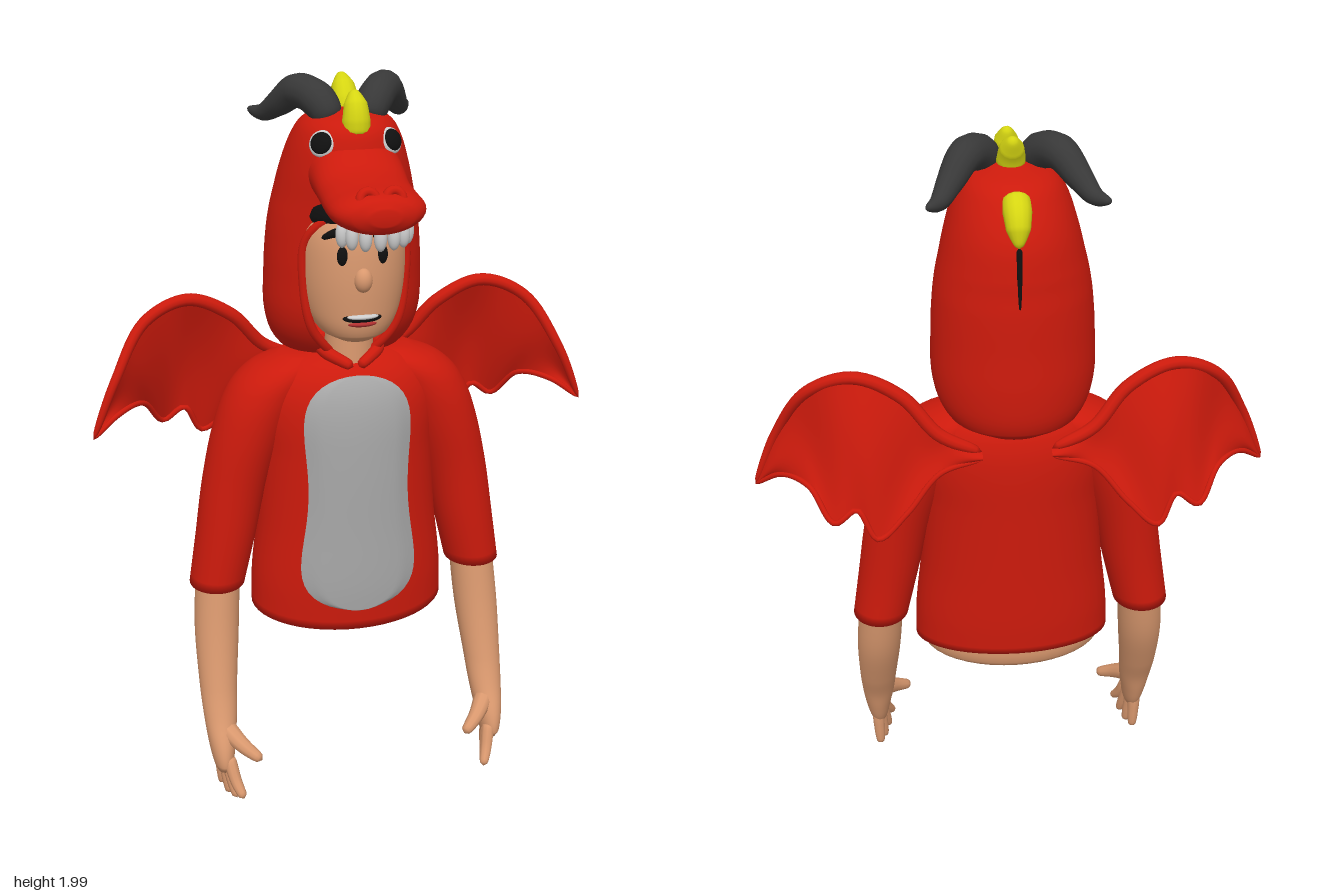
import * as THREE from 'three';
import { mergeVertices } from 'three/addons/utils/BufferGeometryUtils.js';

const mat = (color, side = THREE.FrontSide) =>
  new THREE.MeshStandardMaterial({ color, side });
const RED = mat(0xcc1a0c), CLOTH = mat(0xcc1a0c, THREE.DoubleSide), SKIN = mat(0xd9986e),
  BELLY = mat(0xa6a6a6, THREE.DoubleSide), HORN = mat(0x383838), YELLOW = mat(0xd6d612),
  BLACK = mat(0x101010), WHITE = mat(0xdedede), LIP = mat(0xb03030);
const V = (p) => new THREE.Vector3(...p);

// Smooth interpolation of rows [y, cx, cz, rx, rz, gap] at height y
function at(rows, y) {
  let i = 0;
  while (i < rows.length - 2 && y > rows[i + 1][0]) i++;
  const a = rows[i], b = rows[i + 1], h = b[0] - a[0], t = (y - a[0]) / h;
  const slope = (k, c) => {
    const p = rows[Math.max(k - 1, 0)], n = rows[Math.min(k + 1, rows.length - 1)];
    return (n[c] - p[c]) / (n[0] - p[0]);
  };
  return a.map((v, c) => {
    const m0 = slope(i, c) * h, m1 = slope(i + 1, c) * h, d = b[c] - v;
    return v + t * (m0 + t * (3 * d - 2 * m0 - m1 + t * (m0 + m1 - 2 * d)));
  });
}

function surface(pos, idx) {
  const g = new THREE.BufferGeometry();
  g.setAttribute('position', new THREE.Float32BufferAttribute(pos, 3));
  g.setIndex(idx);
  const m = mergeVertices(g, 1e-5);
  m.computeVertexNormals();
  return m;
}

// Grid of points f(u, v) turned into a sheet
function sheet(f, nu, nv, pos = [], idx = []) {
  for (let i = 0; i <= nv; i++) for (let j = 0; j <= nu; j++) {
    pos.push(...f(j / nu, i / nv));
    if (i < nv && j < nu) {
      const a = i * (nu + 1) + j, c = a + nu + 1;
      idx.push(a, a + 1, c, a + 1, c + 1, c);
    }
  }
  return [pos, idx];
}

// Stack of oval rings; a row's gap opens the ring at the front, tilt slopes the lowest rings
function loft(rows, { open = false, n = 40, tilt = 0 } = {}) {
  const k = (rows.length - 1) * 5;
  const [pos, idx] = sheet((u, v) => {
    const q = v * (rows.length - 1), i = Math.min(Math.floor(q), rows.length - 2);
    const y = rows[i][0] + (q - i) * (rows[i + 1][0] - rows[i][0]);
    const [, cx, cz, rx, rz, gap = 0] = at(rows, y), g = Math.max(gap, 0);
    const t = g + u * (2 * Math.PI - 2 * g), z = cz + rz * Math.cos(t);
    return [cx + rx * Math.sin(t), y - tilt * z * Math.max(0, 1 - 4 * v), z];
  }, n, k);
  if (!open) {
    const c = pos.length / 3, top = k * (n + 1), lo = rows[0], hi = rows[rows.length - 1];
    pos.push(lo[1], lo[0], lo[2], hi[1], hi[0], hi[2]);
    for (let j = 0; j < n; j++) idx.push(c, j + 1, j, c + 1, top + j, top + j + 1);
  }
  return surface(pos, idx);
}

// Tube through points whose radius follows a list, rounded off at both ends
function taper(points, radii, seg = 24, sides = 14) {
  const curve = new THREE.CatmullRomCurve3(points.map(V));
  const g = new THREE.TubeGeometry(curve, seg, 1, sides), p = g.attributes.position;
  for (let i = 0; i <= seg; i++) {
    const u = i / seg, q = u * (radii.length - 1), k = Math.min(Math.floor(q), radii.length - 2);
    const r = (radii[k] + (radii[k + 1] - radii[k]) * (q - k)) * Math.sqrt(1 - Math.abs(2 * u - 1) ** 12);
    const c = curve.getPointAt(u);
    for (let j = 0; j <= sides; j++) {
      const n = i * (sides + 1) + j, v = new THREE.Vector3().fromBufferAttribute(p, n);
      v.sub(c).multiplyScalar(r).add(c);
      p.setXYZ(n, v.x, v.y, v.z);
    }
  }
  return surface(p.array, [...g.index.array]);
}

export function createModel() {
  const root = new THREE.Group(), body = new THREE.Group();
  root.add(body);
  const add = (name, geo, m) => {
    const mesh = new THREE.Mesh(geo, m);
    mesh.name = name;
    body.add(mesh);
    return mesh;
  };
  const ball = (name, p, s, m) => {
    const b = add(name, new THREE.SphereGeometry(1, 24, 16), m);
    b.position.set(...p);
    b.scale.set(...s);
    return b;
  };

  // Torso, waist and belly panel
  const torso = [[.53, 0, -.02, .274, .178], [.64, 0, -.02, .27, .182], [.8, 0, -.022, .252, .18],
    [1, 0, -.025, .242, .178], [1.13, 0, -.03, .25, .173], [1.21, 0, -.035, .232, .156],
    [1.262, 0, -.04, .18, .122], [1.295, 0, -.04, .08, .06]];
  add('shirt', loft(torso, { tilt: .15, n: 48 }), RED);
  add('waist', loft([[.478, 0, -.025, .12, .08], [.488, 0, -.025, .2, .128], [.515, 0, -.022, .25, .16],
    [.58, 0, -.02, .258, .168]]), SKIN);
  add('bellyPanel', surface(...sheet((u, v) => {
    const s = Math.sin((v - .5) * Math.PI), y = .905 + .335 * s, r = at(torso, y);
    const half = (.148 - .01 * Math.cos(s * 4) - .012 * s) * Math.max(0, 1 - Math.abs(s) ** 7) ** .5;
    const x = (2 * u - 1) * half, edge = Math.min(1, 4 * (1 - Math.abs(2 * u - 1)));
    return [x, y, r[2] + r[4] * Math.sqrt(1 - (x / r[3]) ** 2) + .004 + .006 * edge];
  }, 24, 32)), BELLY);
  add('neck', new THREE.CylinderGeometry(.06, .068, .16, 24).translate(0, 1.32, .012), SKIN);

  // Head and face
  add('head', loft([[1.342, 0, .085, .045, .045], [1.365, 0, .07, .09, .09], [1.43, 0, .04, .128, .132],
    [1.55, 0, .025, .145, .148], [1.65, 0, .015, .14, .14], [1.73, 0, 0, .1, .1]]), SKIN);
  add('hair', loft([[1.655, 0, .005, .143, .142], [1.675, 0, .01, .143, .143], [1.71, 0, .01, .13, .135],
    [1.76, 0, 0, .07, .08]]), BLACK);
  ball('nose', [0, 1.52, .17], [.024, .032, .024], SKIN);
  ball('mouth', [0, 1.418, .158], [.052, .014, .019], BLACK);
  ball('mouthTeeth', [0, 1.422, .163], [.043, .008, .018], WHITE);
  ball('lip', [0, 1.402, .158], [.04, .009, .018], LIP);

  // Hood with face opening, rolled edge and back seam
  const hood = [[1.248, 0, -.12, .1, .09, .3], [1.28, 0, -.103, .168, .146, .3], [1.37, 0, -.08, .208, .182, .58],
    [1.5, 0, -.07, .21, .187, .7], [1.6, 0, -.065, .203, .188, .7], [1.655, 0, -.06, .195, .187, .5],
    [1.695, 0, -.056, .186, .188, 0], [1.78, 0, -.043, .165, .185, 0], [1.86, 0, -.026, .137, .157, 0],
    [1.9, 0, -.017, .106, .122, 0], [1.922, 0, -.01, .05, .06, 0]];
  add('hood', loft(hood, { n: 56, open: true }), CLOTH);
  ball('hoodCrown', [0, 1.915, -.01], [.06, .012, .07], RED);
  const edge = (s) => hood.slice(0, 7).map(([y, , cz, rx, rz, g]) => [s * rx * Math.sin(g), y, cz + rz * Math.cos(g)]);
  add('hoodEdge', taper([...edge(1), ...edge(-1).reverse().slice(1)], [.012, .013, .013, .012], 80, 10), RED);
  add('hoodSeam', taper([1.78, 1.72, 1.67, 1.62].map((y) => {
    const r = at(hood, y);
    return [0, y, r[2] - r[4] + .002];
  }), [.009, .007, .003], 16, 8), BLACK);

  // Snout and teeth
  add('snout', loft([[0, 0, -1.785, .125, .095], [.11, 0, -1.77, .12, .088], [.19, 0, -1.747, .117, .066],
    [.27, 0, -1.739, .12, .056], [.33, 0, -1.737, .115, .052], [.37, 0, -1.735, .084, .042],
    [.388, 0, -1.735, .035, .02]]).rotateX(Math.PI / 2), RED);
  for (let i = -3; i <= 3; i++) {
    const a = i * .42;
    ball('tooth', [.086 * Math.sin(a), 1.675, .26 + .08 * Math.cos(a)], [.016, .033, .016], WHITE);
  }

  // Crest spikes
  const crest = [[[0, 1.87, .09], [0, 1.93, .085], [0, 1.98, .06]],
    [[0, 1.9, -.02], [0, 1.95, -.045], [0, 1.998, -.085]],
    [[0, 1.875, -.145], [0, 1.84, -.195], [0, 1.775, -.228]]];
  for (const p of crest) add('crestSpike', taper(p, [.036, .036, .03, .01]), YELLOW);

  for (const s of [1, -1]) {
    const flip = (pts) => pts.map(([x, y, z]) => [x * s, y, z]);
    // Face and collar
    ball('eye', [s * .052, 1.583, .16], [.014, .025, .01], BLACK);
    add('eyebrow', taper(flip([[.025, 1.63, .166], [.062, 1.643, .155], [.1, 1.625, .132]]), [.009, .012, .006], 12, 8), BLACK);
    add('collar', taper(flip([[.085, 1.3, -.03], [.07, 1.29, .045], [.008, 1.262, .1]]), [.016, .018, .014], 16, 10), RED);

    // Hood eyes, nostrils and horns
    const look = new THREE.Vector3(s * .5, .4, .77).normalize();
    [['hoodEyeWhite', .034, 0, WHITE], ['hoodEyePupil', .028, .006, BLACK]].forEach(([n, r, d, m]) => {
      const b = ball(n, [s * .088 + look.x * d, 1.855 + look.y * d, .093 + look.z * d], [r, r, .014], m);
      b.quaternion.setFromUnitVectors(new THREE.Vector3(0, 0, 1), look);
    });
    const nostril = add('nostril', new THREE.TorusGeometry(.02, .012, 10, 20), RED);
    nostril.position.set(s * .032, 1.772, .346);
    nostril.rotation.x = -.4;
    add('horn', taper(flip([[.045, 1.89, .025], [.075, 1.943, -.015], [.115, 1.957, -.075], [.155, 1.915, -.135],
      [.185, 1.885, -.185], [.218, 1.887, -.235]]), [.04, .046, .044, .036, .025, .01], 40), HORN);

    // Sleeve, forearm and hand
    const limb = (rows) => loft(rows.map(([y, x, ...r]) => [y, x * s, ...r]), { n: 32 });
    add('sleeve', limb([[.612, .372, -.02, .077, .086], [.75, .345, -.02, .083, .088], [.92, .312, -.025, .09, .094],
      [1.08, .262, -.03, .103, .108], [1.18, .215, -.035, .108, .112], [1.24, .165, -.037, .098, .098],
      [1.278, .12, -.037, .055, .055]]), RED);
    add('arm', limb([[.1, .393, .145, .02, .032], [.125, .394, .142, .028, .052], [.18, .394, .125, .038, .058],
      [.25, .392, .095, .047, .052], [.33, .39, .06, .053, .056], [.48, .382, .01, .062, .067], [.64, .37, -.02, .062, .068]]), SKIN);
    for (let i = 0; i < 4; i++) {
      const k = i - 1.5, tip = [.02, .012, .022, .045][i];
      add('finger', taper(flip([[.398 - .005 * i, .15, .14 + k * .021], [.396 - .009 * i, .085, .155 + k * .031],
        [.394 - .014 * i, tip, .17 + k * .042]]), [.018, .018, .016, .012], 16, 10), SKIN);
    }
    add('thumb', taper(flip([[.385, .22, .125], [.342, .185, .18], [.296, .155, .218]]), [.03, .025, .02, .014], 16, 10), SKIN);

    // Wing: sheet between a leading edge and a scalloped trailing edge
    const depth = (x, y) => -.13 - .25 * (1.4 - y) + .18 * THREE.MathUtils.smoothstep(x, .45, .72);
    const lift = ([x, y]) => [s * x, y, depth(x, y)];
    const lead = [[.09, 1.2], [.2, 1.25], [.29, 1.35], [.41, 1.405], [.53, 1.36], [.62, 1.22], [.688, 1.06]];
    const trail = [[.09, 1.18], [.2, 1.15], [.29, 1.05], [.37, .985], [.42, 1.065], [.48, 1.03], [.54, 1.11], [.615, 1.11], [.688, 1.06]];
    const path = (pts) => new THREE.CatmullRomCurve3(pts.map(([x, y]) => V([x, y, 0])));
    const top = path(lead), low = path(trail);
    add('wing', surface(...sheet((u, v) => {
      const p = low.getPoint(u).lerp(top.getPoint(u), v), [x, y, z] = lift([p.x, p.y]);
      return [x, y, z - .018 * Math.sin(v * Math.PI) * Math.cos(u * 14)];
    }, 48, 10)), CLOTH);
    add('wingLeadingEdge', taper(lead.map(lift), [.018, .018, .015, .01], 48, 10), RED);
    add('wingTrailingEdge', taper(trail.map(lift), [.008, .008], 64, 8), RED);
  }

  // Turn the figure slightly to its left
  body.rotation.y = .33;
  body.position.set(.02, -.005, -.007);
  return root;
}
